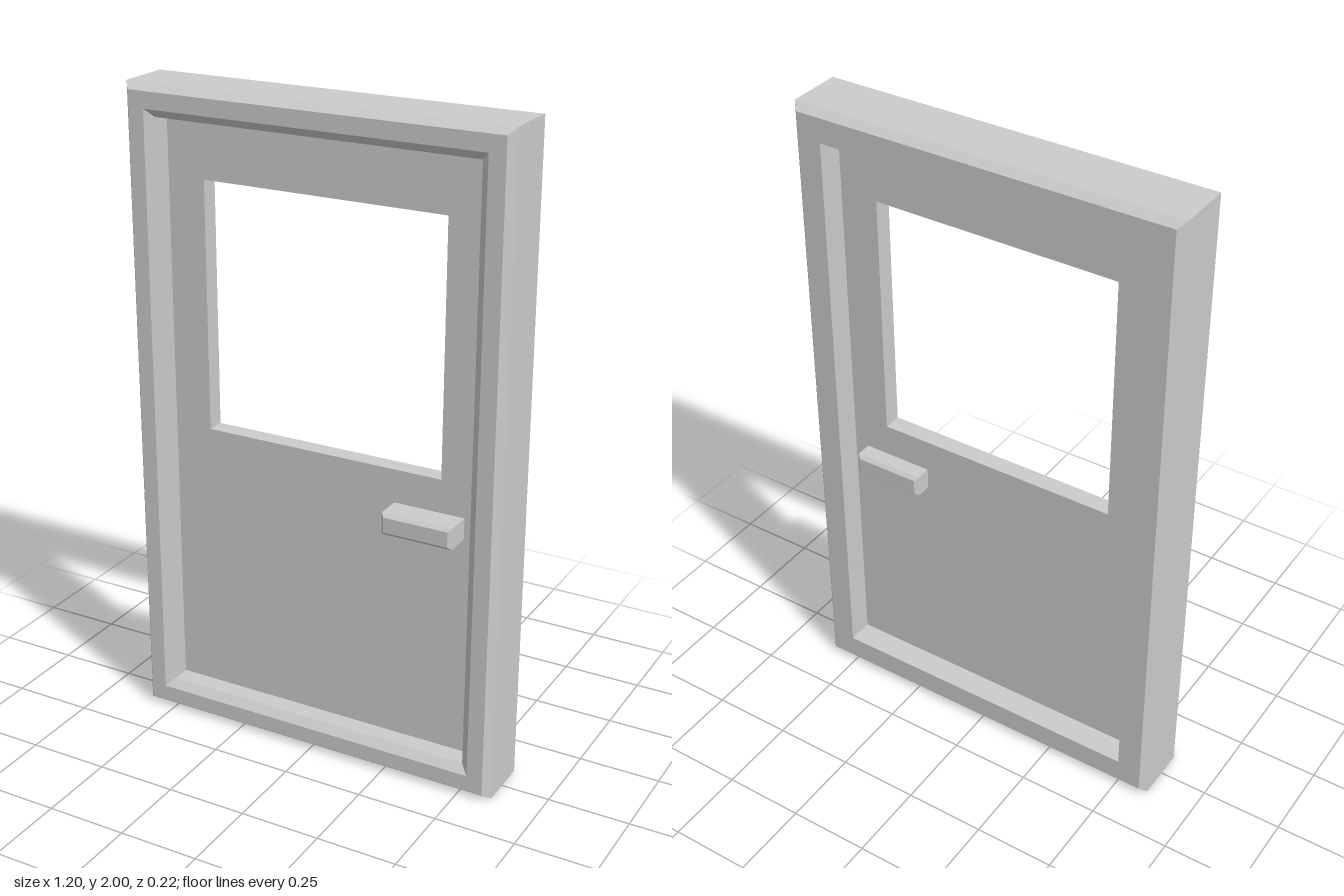
import * as THREE from 'three';

const material = new THREE.MeshStandardMaterial({ color: 0xcccccc, flatShading: true });

const W = 0.6, H = 2;

// Corners of the door outline moved inwards, counterclockwise from the front
function ring(inset, z) {
  const x = W - inset, y0 = inset, y1 = H - inset;
  return [[-x, y0, z], [x, y0, z], [x, y1, z], [-x, y1, z]];
}

// Sweeps a closed [inset, z] profile around the rectangular outline with mitred corners
function frameGeometry(profile) {
  const positions = [];
  profile.forEach((point, i) => {
    const a = ring(...point);
    const b = ring(...profile[(i + 1) % profile.length]);
    for (let k = 0; k < 4; k++) {
      const n = (k + 1) % 4;
      positions.push(...a[k], ...a[n], ...b[n], ...a[k], ...b[n], ...b[k]);
    }
  });
  const geometry = new THREE.BufferGeometry();
  geometry.setAttribute('position', new THREE.Float32BufferAttribute(positions, 3));
  geometry.computeVertexNormals();
  return geometry;
}

function rectangle(PathType, x0, y0, x1, y1) {
  return new PathType([[x0, y0], [x1, y0], [x1, y1], [x0, y1]].map(p => new THREE.Vector2(...p)));
}

export function createModel() {
  const group = new THREE.Group();
  const add = (name, geometry) => {
    const mesh = new THREE.Mesh(geometry, material);
    mesh.name = name;
    group.add(mesh);
    return mesh;
  };

  // Frame: chamfered outside, with a chamfered inner edge on the front only
  add('frame', frameGeometry([
    [0, -0.09], [0, 0.078], [0.02, 0.104], [0.07, 0.104],
    [0.095, 0.082], [0.095, -0.112], [0.02, -0.112],
  ]));

  // Door panel with an open window
  const panel = rectangle(THREE.Shape, -0.505, 0.095, 0.505, 1.905);
  panel.holes.push(rectangle(THREE.Path, -0.385, 0.96, 0.385, 1.727));
  add('panel', new THREE.ExtrudeGeometry(panel, { depth: 0.056, bevelEnabled: false }))
    .position.z = -0.032;

  // Handle: bar through the panel, chamfered at both faces
  const bevel = 0.01, back = -0.09, front = 0.112;
  add('handle', new THREE.ExtrudeGeometry(rectangle(THREE.Shape, 0.238, 0.79, 0.46, 0.857), {
    depth: front - back - 2 * bevel,
    bevelThickness: bevel, bevelSize: bevel, bevelOffset: -bevel, bevelSegments: 1,
  })).position.z = back + bevel;

  return group;
}
